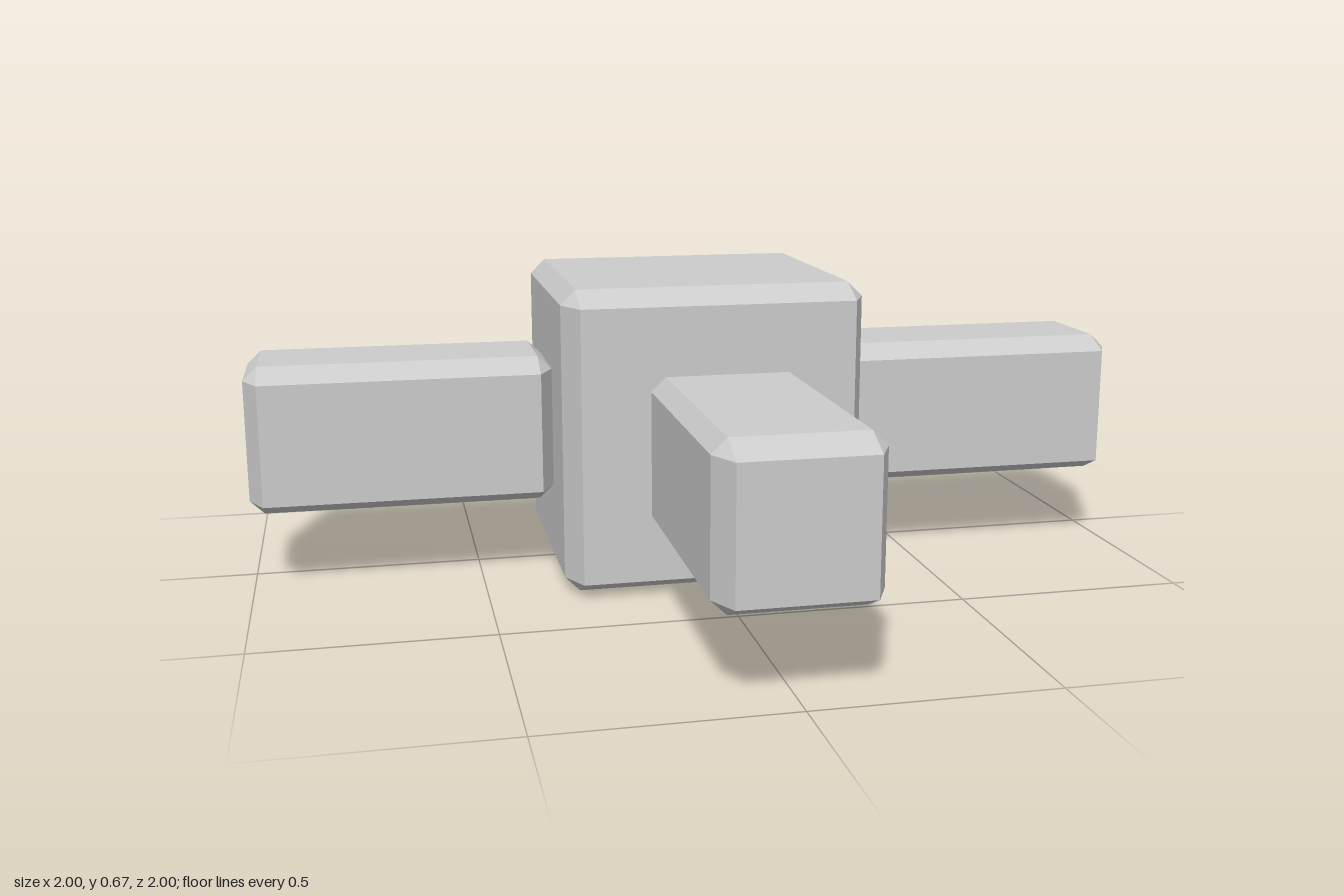
import * as THREE from 'three';
import { ConvexGeometry } from 'three/addons/geometries/ConvexGeometry.js';

// Block with chamfered edges and triangular corners; size and bevel are [x, y, z]
function chamferedBlock(size, bevel) {
  const points = [];
  for (const sx of [-1, 1]) for (const sy of [-1, 1]) for (const sz of [-1, 1]) {
    const sign = [sx, sy, sz];
    // each corner gives one point on each of its three faces
    for (let face = 0; face < 3; face++) {
      const p = sign.map((s, i) => s * (size[i] / 2 - (i === face ? 0 : bevel[i])));
      points.push(new THREE.Vector3(...p));
    }
  }
  return new ConvexGeometry(points);
}

export function createModel() {
  const group = new THREE.Group();
  const material = new THREE.MeshStandardMaterial({ color: 0xcccccc, flatShading: true });
  const unit = 2 / 3, thick = 0.327, midY = unit / 2;

  function add(name, size, bevel, x, z) {
    const mesh = new THREE.Mesh(chamferedBlock(size, bevel), material);
    mesh.name = name;
    mesh.position.set(x, midY, z);
    group.add(mesh);
  }

  // Central hub
  add('hub', [unit, unit, unit], [0.033, 0.033, 0.067], 0, 0);

  // Four arms, touching the hub sides
  const armBevel = [0.031, 0.03, 0.063];
  for (const [name, s] of [['left', 1], ['right', -1]])
    add(name + 'Arm', [unit, thick, thick], armBevel, s * unit, 0);
  for (const [name, s] of [['front', 1], ['back', -1]])
    add(name + 'Arm', [thick, thick, unit], armBevel, 0, s * unit);

  return group;
}
